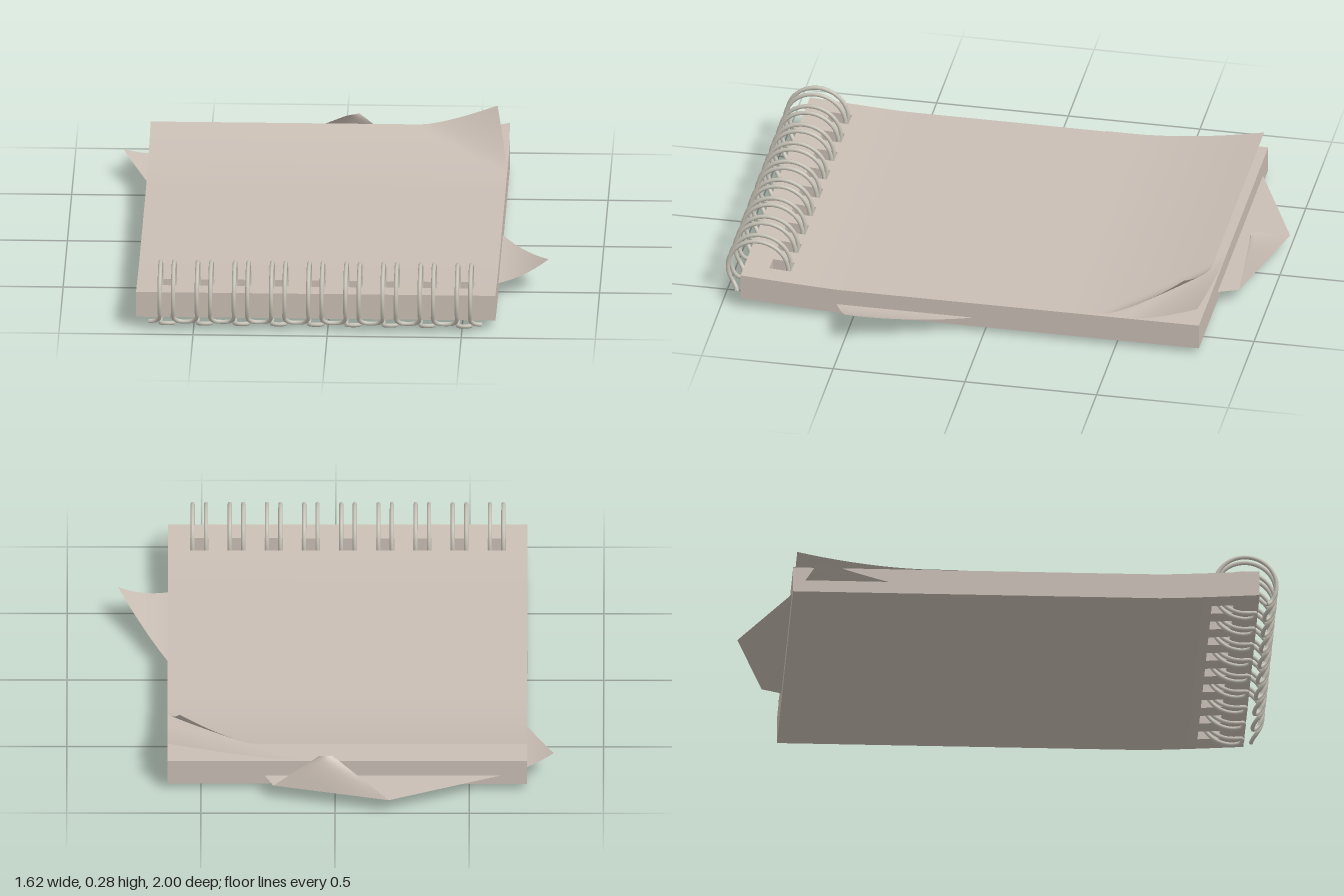
import * as THREE from 'three';

const LEFT = -0.715, RIGHT = 0.625, BACK = -0.815, FRONT = 0.925;
const lerp = THREE.MathUtils.lerp;
const mix = (a, b, t) => a.map((v, i) => lerp(v, b[i], t));

// Height gained by the pad where it bends up towards the binding
const bend = z => 0.021 * Math.pow(Math.max(0, (z - 0.55) / 0.375), 1.2);

// Open grid surface from a rule f(u, v) -> [x, y, z]
function surface(nu, nv, f) {
  const pos = [], idx = [];
  for (let j = 0; j <= nv; j++)
    for (let i = 0; i <= nu; i++) pos.push(...f(i / nu, j / nv));
  for (let j = 0; j < nv; j++)
    for (let i = 0; i < nu; i++) {
      const a = j * (nu + 1) + i, b = a + nu + 1;
      idx.push(a, b, a + 1, a + 1, b, b + 1);
    }
  const g = new THREE.BufferGeometry();
  g.setAttribute('position', new THREE.Float32BufferAttribute(pos, 3));
  g.setIndex(idx);
  g.computeVertexNormals();
  return g;
}

// Slice of the pad: bent side profile extruded across x
function slab(x0, x1, z0, z1) {
  const n = 12, low = [], high = [];
  for (let i = 0; i <= n; i++) {
    const z = lerp(Math.max(z0, 0.55), z1, i / n);
    low.push(new THREE.Vector2(z, 0.021 + bend(z)));
    high.unshift(new THREE.Vector2(z, 0.119 + bend(z)));
  }
  if (z0 < 0.55) {
    low.unshift(new THREE.Vector2(z0, 0.021));
    high.push(new THREE.Vector2(z0, 0.119));
  }
  const g = new THREE.ExtrudeGeometry(new THREE.Shape([...low, ...high]), { depth: x1 - x0, bevelEnabled: false });
  return g.rotateY(-Math.PI / 2).translate(x1, 0, 0);
}

export function createModel() {
  const model = new THREE.Group();
  model.name = 'spiralNotepad';
  const paper = new THREE.MeshStandardMaterial({ color: 0xc9beb4, side: THREE.DoubleSide });
  paper.name = 'paper';
  const metal = new THREE.MeshStandardMaterial({ color: 0xc6c2b7 });
  metal.name = 'wire';
  const add = (name, geometry, material = paper, parent = model) => {
    const mesh = new THREE.Mesh(geometry, material);
    mesh.name = name;
    parent.add(mesh);
  };

  // Pad, with bars left between the square binding holes
  const centres = Array.from({ length: 9 }, (_, i) => -0.6 + i * 0.1385);
  const holeBack = 0.75, holeFront = 0.832, half = 0.034;
  const pad = new THREE.Group();
  pad.name = 'pad';
  model.add(pad);
  add('padBody', slab(LEFT, RIGHT, BACK, holeBack), paper, pad);
  add('padFrontEdge', slab(LEFT, RIGHT, holeFront, FRONT), paper, pad);
  for (let i = 0; i <= centres.length; i++) {
    const x0 = i ? centres[i - 1] + half : LEFT;
    const x1 = i < centres.length ? centres[i] - half : RIGHT;
    add('holeBar', slab(x0, x1, holeBack, holeFront), paper, pad);
  }

  // Top page: its back edge curls up and one corner rolls higher
  add('topPage', surface(40, 30, (u, v) => {
    const x = lerp(LEFT, RIGHT, u), z = lerp(-0.2, -0.8, v);
    const curl = Math.pow(Math.max(0, (-z - 0.3) / 0.5), 1.8);
    const c = Math.max(0, (x - 0.3) / 0.325 + (-z - 0.45) / 0.35 - 1);
    const roll = Math.pow(c, 1.3);
    return [x - 0.045 * roll, 0.121 + 0.062 * curl + 0.097 * roll, z + 0.05 * roll];
  }));

  // Second page: only the corner lifts
  add('secondPage', surface(24, 20, (u, v) => {
    const x = lerp(LEFT, RIGHT, u), z = lerp(-0.4, BACK, v);
    const c = Math.max(0, (x - 0.1) / 0.525 + (-z - 0.55) / 0.265 - 1);
    return [x, 0.1202 + 0.07 * Math.pow(c, 1.5), z + 0.006 * c];
  }));

  // Loose sheet lying skewed inside the pad
  const A = [-0.815, -0.725], B = [-0.2, -1], C = [0.23, -0.89], D = [0.81, 0.48], F = [-0.196, 0.917];
  add('looseSheet', surface(40, 40, (u, v) => {
    const edge = u < 0.6 ? mix(A, B, u / 0.6) : mix(B, C, (u - 0.6) / 0.4);
    const [x, z] = mix(edge, mix(F, D, u), v);
    const y = 0.056 + 1.55 * Math.max(0, x - 0.6) ** 2 + 1.2 * Math.max(0, -x - 0.62) ** 2;
    return [x, y, Math.min(z, 0.74)];
  }));

  // Corner of the loose sheet folded upwards
  add('foldedCorner', surface(12, 8, (u, v) => {
    const fold = mix([B[0], 0.056, B[1]], [C[0], 0.056, C[1]], u);
    const p = mix(fold, mix([0.01, 0.182, -0.886], [0.06, 0.188, -0.9], u), v);
    p[1] += 0.012 * Math.sin(Math.PI * v) * Math.sin(Math.PI * u);
    return p;
  }));

  // Twin-loop wire: one continuous path through all holes
  const path = [];
  const point = (x, deg) => {
    const t = THREE.MathUtils.degToRad(deg);
    path.push(new THREE.Vector3(x, 0.123 + 0.115 * Math.sin(t), 0.877 + 0.115 * Math.cos(t)));
  };
  for (const x of centres) {
    point(x - 0.066, -50);
    point(x - 0.042, -47);
    for (let a = -35; a <= 275; a += 15.5) point(x - 0.025, a);
    point(x - 0.018, 288);
    point(x + 0.018, 288);
    for (let a = 275; a >= -35; a -= 15.5) point(x + 0.025, a);
    point(x + 0.042, -47);
  }
  point(centres[8] + 0.066, -50);
  const curve = new THREE.CatmullRomCurve3(path);
  curve.arcLengthDivisions = 4000;
  add('bindingWire', new THREE.TubeGeometry(curve, 1000, 0.008, 8), metal);

  return model;
}
